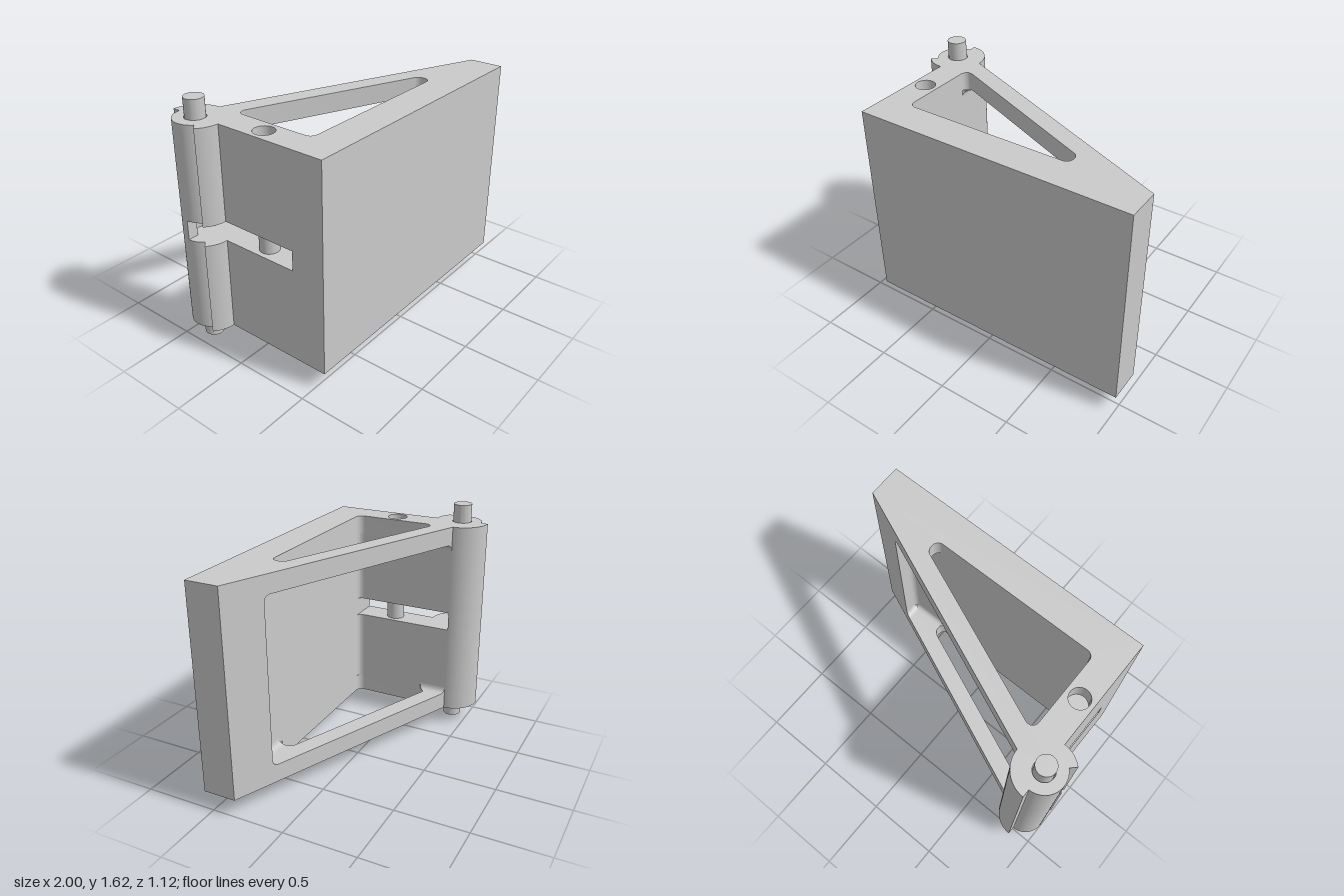
import * as THREE from 'three';
import { toCreasedNormals } from 'three/addons/utils/BufferGeometryUtils.js';

const CX = -0.865, CZ = -0.375;            // hinge axis
const R = 0.185, RI = 0.135, BORE = 0.066; // knuckle radii
const LEFT = -0.68, FLOOR = 0.334, END = 0.733; // pocket limits
const FRONT = 0.558;                       // front face
const F = 0.045;                           // fillet radius
const Y = [0.122, 0.245, 0.747, 0.877, 1.376, 1.5]; // layer heights
const slopeZ = (x) => CZ + (x - LEFT) * 0.4226;   // sloping back face

export function createModel() {
  const group = new THREE.Group();
  const grey = new THREE.MeshStandardMaterial({ color: 0xcacaca });
  grey.name = 'plain grey';

  const add = (name, geo) => {
    const mesh = new THREE.Mesh(toCreasedNormals(geo, 0.5), grey);
    mesh.name = name;
    group.add(mesh);
  };
  // Extrude a plan drawn in (x, z) between two heights
  const slab = (name, shape, y0, y1) => {
    const geo = new THREE.ExtrudeGeometry(shape, { depth: y1 - y0, bevelEnabled: false, curveSegments: 24 });
    geo.rotateX(Math.PI / 2).translate(0, y1, 0);
    add(name, geo);
  };

  // Stepped hinge knuckle, from the sloping face round to the left wall
  const knuckle = (s) => {
    s.lineTo(CX + R, CZ);
    s.absarc(CX, CZ, R, 0, -Math.PI / 2, true);
    s.absarc(CX, CZ, RI, -Math.PI / 2, -Math.PI * 1.25, true);
    s.absarc(CX, CZ, R, Math.PI * 0.75, Math.PI / 2, true);
    s.closePath();
  };
  const startPlan = () => {
    const s = new THREE.Shape();
    s.moveTo(CX, FRONT);
    s.lineTo(1, FRONT);
    s.lineTo(1, slopeZ(1));
    return s;
  };
  const pocketEnd = (s) => {
    s.lineTo(END, slopeZ(END));
    s.lineTo(END, FLOOR - F);
    s.quadraticCurveTo(END, FLOOR, END - F, FLOOR);
  };

  // Top and bottom plates with a triangular opening and two round holes
  const opening = () => {
    const p = [[LEFT, -0.245], [0.48, 0.245], [0.48, FLOOR], [LEFT, FLOOR]]
      .map(([x, z]) => new THREE.Vector2(x, z));
    const setbacks = [0.068, 0.03, 0.045, 0.045];
    const path = new THREE.Path();
    p.forEach((c, i) => {
      const toward = (q, k) => c.clone().add(q.clone().sub(c).setLength(setbacks[i] * k));
      const before = p[(i + 3) % 4], after = p[(i + 1) % 4];
      const a = toward(before, 1), a2 = toward(before, 0.47);
      const b = toward(after, 1), b2 = toward(after, 0.47);
      if (i === 0) path.moveTo(a.x, a.y); else path.lineTo(a.x, a.y);
      path.bezierCurveTo(a2.x, a2.y, b2.x, b2.y, b.x, b.y);
    });
    path.closePath();
    return path;
  };
  const roundHole = (x, z) => new THREE.Path().absarc(x, z, BORE, 0, Math.PI * 2, false);
  const plate = startPlan();
  knuckle(plate);
  plate.holes.push(opening(), roundHole(-0.773, 0.073), roundHole(CX, CZ));
  slab('bottomPlate', plate, Y[0], Y[1]);
  slab('topPlate', plate, Y[4], Y[5]);

  // Front and left walls around the open-backed pocket
  const walls = startPlan();
  pocketEnd(walls);
  walls.lineTo(LEFT + F, FLOOR);
  walls.quadraticCurveTo(LEFT, FLOOR, LEFT, FLOOR - F);
  knuckle(walls);
  slab('lowerWalls', walls, Y[1], Y[2]);
  slab('upperWalls', walls, Y[3], Y[4]);

  // Slot level: front wall only, and half a knuckle with its bore exposed
  const front = startPlan();
  pocketEnd(front);
  front.lineTo(CX, FLOOR);
  front.closePath();
  slab('slotFrontWall', front, Y[2], Y[3]);
  const half = new THREE.Shape();
  half.moveTo(CX + R, CZ);
  half.absarc(CX, CZ, R, 0, -Math.PI / 2, true);
  half.absarc(CX, CZ, RI, -Math.PI / 2, -Math.PI, true);
  half.absarc(CX, CZ, BORE, Math.PI, Math.PI * 2, false);
  half.closePath();
  slab('slotKnuckle', half, Y[2], Y[3]);

  // Fillets where the plates meet the pocket's ends and floor
  const filletShape = (x, y, sx, sy) => {
    const s = new THREE.Shape();
    s.moveTo(x, y);
    s.lineTo(x + sx * F, y);
    s.quadraticCurveTo(x, y, x, y + sy * F);
    s.closePath();
    return s;
  };
  for (const [y, sy] of [[Y[1], 1], [Y[4], -1]]) {
    for (const [x, sx] of [[LEFT, 1], [END, -1]]) {
      const geo = new THREE.ExtrudeGeometry(filletShape(x, y, sx, sy), { depth: 1, bevelEnabled: false });
      const pos = geo.attributes.position;
      // Outer end follows the sloping face, inner end the opening or the floor
      for (let i = 0; i < pos.count; i++) {
        const px = pos.getX(i);
        const inner = sx > 0 ? -0.18 - (px - LEFT) * 0.8 : FLOOR;
        pos.setZ(i, pos.getZ(i) < 0.5 ? slopeZ(px) : inner);
      }
      add('pocketEndFillet', geo);
    }
    const geo = new THREE.ExtrudeGeometry(filletShape(0, y, 1, sy), { depth: END - 0.48, bevelEnabled: false });
    geo.rotateY(Math.PI / 2).translate(0.48, 0, FLOOR);
    add('pocketFloorFillet', geo);
  }

  // Hinge pins at both ends, and the cross pin seen in the slot
  const pin = (name, x, z, y0, y1) =>
    add(name, new THREE.CylinderGeometry(0.062, 0.062, y1 - y0, 48).translate(x, (y0 + y1) / 2, z));
  pin('lowerHingePin', CX, CZ, 0, 0.3);
  pin('upperHingePin', CX, CZ, 1.33, 1.622);
  pin('slotPin', -0.773, 0.073, Y[2] - 0.05, Y[3] + 0.05);

  return group;
}
